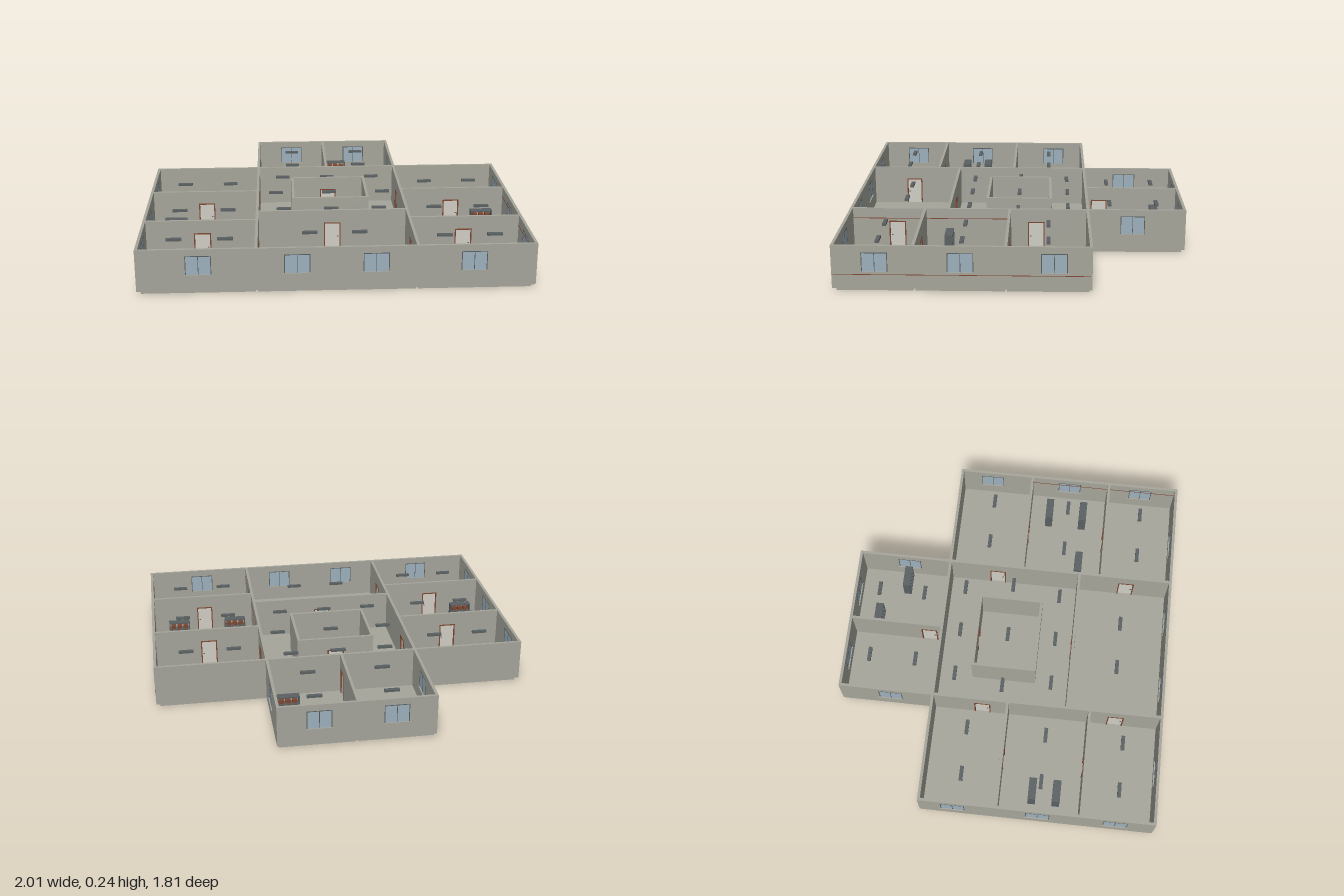
import * as THREE from 'three';

const material = (name, color, side = THREE.FrontSide) => {
  const m = new THREE.MeshStandardMaterial({ color, side });
  m.name = name;
  return m;
};

const BASE = 0.018, TOP = 0.24, THICK = 0.015;
const WIN = { w: 0.13, y0: 0.105, y1: 0.205 };
const DOOR = { w: 0.09, top: 0.17 };

export function createModel() {
  const grey = material('concrete grey', 0xa5a59b);
  const glass = material('window blue', 0x9db0bc);
  const dark = material('dark metal', 0x5a6162);
  const brown = material('red brown wood', 0x7d4630);
  const pale = material('pale door', 0xcfcdc4);

  const model = new THREE.Group();
  model.name = 'floorPlanBuilding';

  const box = (parent, name, mat, w, h, d, x, y, z) => {
    const m = new THREE.Mesh(new THREE.BoxGeometry(w, h, d), mat);
    m.name = name;
    m.position.set(x, y, z);
    parent.add(m);
    return m;
  };

  // Two-pane window with slim frame and projecting sill
  function addWindow(parent, u) {
    const g = new THREE.Group();
    g.name = 'window';
    g.position.set(u, (WIN.y0 + WIN.y1) / 2, 0);
    const h = WIN.y1 - WIN.y0, t = 0.004;
    box(g, 'glass', glass, WIN.w, h, 0.013, 0, 0, 0);
    for (const x of [-WIN.w / 2 + t / 2, 0, WIN.w / 2 - t / 2])
      box(g, 'frameUpright', dark, x ? t : 0.003, h, 0.017, x, 0, 0);
    box(g, 'frameHead', dark, WIN.w, t, 0.017, 0, h / 2 - t / 2, 0);
    box(g, 'sill', grey, WIN.w + 0.01, 0.005, 0.026, 0, -h / 2 - 0.0025, 0);
    parent.add(g);
  }

  // Pale door leaf in a wooden frame
  function addDoor(parent, u) {
    const g = new THREE.Group();
    g.name = 'door';
    g.position.x = u;
    const h = DOOR.top - BASE, t = 0.006;
    box(g, 'doorLeaf', pale, DOOR.w, h, 0.006, 0, BASE + h / 2, 0);
    for (const s of [-1, 1]) {
      box(g, 'doorJamb', brown, t, h, 0.02, s * (DOOR.w / 2 - t / 2), BASE + h / 2, 0);
      box(g, 'doorHandle', dark, 0.008, 0.004, 0.005, 0.03, 0.09, s * 0.0055);
    }
    box(g, 'doorHead', brown, DOOR.w, t, 0.02, 0, DOOR.top - t / 2, 0);
    parent.add(g);
  }

  // Wall along x or z with cut-out windows and doors
  function addWall(axis, pos, a, b, windows = [], doors = []) {
    const g = new THREE.Group();
    g.name = 'wall';
    if (axis === 'x') g.position.z = pos;
    else {
      g.position.x = pos;
      g.rotation.y = -Math.PI / 2;
    }
    const shape = new THREE.Shape();
    shape.moveTo(a, BASE);
    for (const d of [...doors].sort((p, q) => p - q)) {
      const l = d - DOOR.w / 2, r = d + DOOR.w / 2;
      shape.lineTo(l, BASE).lineTo(l, DOOR.top).lineTo(r, DOOR.top).lineTo(r, BASE);
    }
    shape.lineTo(b, BASE).lineTo(b, TOP).lineTo(a, TOP).closePath();
    for (const c of windows) {
      const l = c - WIN.w / 2, r = c + WIN.w / 2;
      const hole = new THREE.Path();
      hole.moveTo(l, WIN.y0).lineTo(l, WIN.y1).lineTo(r, WIN.y1).lineTo(r, WIN.y0).closePath();
      shape.holes.push(hole);
    }
    const geo = new THREE.ExtrudeGeometry(shape, { depth: THICK, bevelEnabled: false });
    geo.translate(0, 0, -THICK / 2);
    const panel = new THREE.Mesh(geo, grey);
    panel.name = 'wallPanel';
    g.add(panel);
    windows.forEach(u => addWindow(g, u));
    doors.forEach(u => addDoor(g, u));
    model.add(g);
  }

  // Outer and cross walls, mirrored side to side
  const X = 0.9925, XI = 0.4025, ZF = 0.89, ZB = -0.89, ZM = -0.374;
  addWall('x', ZF, -1, 1, [-0.69, -0.2, 0.195, 0.685]);
  addWall('x', ZB, -0.41, 0.41, [-0.2, 0.195]);
  addWall('x', ZM, -1, 1);
  for (const s of [-1, 1]) {
    addWall('z', s * X, ZM, ZF, [-0.195, 0.265, 0.685]);
    addWall('z', s * XI, ZB, ZM, [-0.615]);
    addWall('z', s * XI, ZM, ZF, [], [-0.1, 0.645]);
    const [a, b] = s < 0 ? [-X, -XI] : [XI, X];
    addWall('x', 0.042, a, b, [], [s * 0.69]);
    addWall('x', 0.495, a, b, [], [s * 0.69]);
  }
  addWall('x', 0.37, -XI, XI, [], [0]);
  addWall('z', 0, ZB, ZM, [], [-0.45]);

  // Central core room
  addWall('x', -0.175, -0.21, 0.21, [], [0]);
  addWall('x', 0.17, -0.21, 0.21);
  for (const x of [-0.205, 0.205]) addWall('z', x, -0.175, 0.17);

  // Thin wooden rail on the +x walls
  box(model, 'wallRail', brown, 0.002, 0.003, ZF - ZM, 1.0003, 0.09, (ZF + ZM) / 2);
  for (const x of [XI + 0.0083, X - 0.0083])
    box(model, 'wallRail', brown, 0.002, 0.003, ZF - 0.05, x, 0.185, (ZF + 0.05) / 2);

  // Floor slabs, one per room, with narrow joints between: x0, x1, z0, z1
  const slabs = [
    [-0.398, -0.006, -0.88, -0.38], [0.006, 0.398, -0.88, -0.38],
    [-0.398, 0.398, 0.376, 0.88],
    [-0.2, 0.2, -0.169, 0.164],
    [-0.398, 0.398, -0.368, -0.181], [-0.398, 0.398, 0.176, 0.364],
    [-0.398, -0.211, -0.181, 0.176], [0.211, 0.398, -0.181, 0.176],
  ];
  for (const [z0, z1] of [[-0.368, 0.036], [0.048, 0.489], [0.501, 0.88]])
    slabs.push([-0.98, -0.408, z0, z1], [0.408, 0.98, z0, z1]);
  for (const [x0, x1, z0, z1] of slabs)
    box(model, 'floorSlab', grey, x1 - x0, 0.02, z1 - z0, (x0 + x1) / 2, 0.01, (z0 + z1) / 2);
  // Sub-floor closing the joints
  box(model, 'subFloor', grey, 1.97, 0.006, 1.26, 0, 0.016, 0.258);
  box(model, 'subFloor', grey, 0.8, 0.006, 0.51, 0, 0.016, -0.632);

  // Hanging lamps
  const lamps = [[-0.13, 0.625], [0.13, 0.625], [0, 0]];
  for (const x of [-0.26, 0, 0.26]) lamps.push([x, -0.27], [x, 0.268]);
  for (const s of [-1, 1]) {
    lamps.push([s * 0.302, 0], [s * 0.2, -0.757], [s * 0.2, -0.5]);
    for (const z of [-0.165, 0.268, 0.69]) lamps.push([s * 0.563, z], [s * 0.823, z]);
  }
  for (const [x, z] of lamps) box(model, 'lamp', dark, 0.08, 0.012, 0.02, x, 0.212, z);

  // Open bookcases with rows of wooden boxes
  const cases = [[0.075, -0.755], [0.32, -0.62], [-0.85, 0.225], [-0.85, 0.358],
    [0.52, 0.358], [0.845, 0.358], [0.845, 0.16]];
  for (const [x, z] of cases) {
    const g = new THREE.Group();
    g.name = 'bookcase';
    g.position.set(x, 0.02, z);
    for (const s of [-1, 1]) box(g, 'bookcaseSide', dark, 0.005, 0.125, 0.042, s * 0.0575, 0.0625, 0);
    for (let i = 0; i < 4; i++) {
      const y = 0.005 + i * 0.04;
      box(g, 'shelf', dark, 0.12, 0.006, 0.042, 0, y, 0);
      if (i < 3) for (let k = -1; k <= 1; k++)
        box(g, 'storedBox', brown, 0.026, 0.02, 0.03, k * 0.035, y + 0.013, 0);
    }
    model.add(g);
  }
  return model;
}
